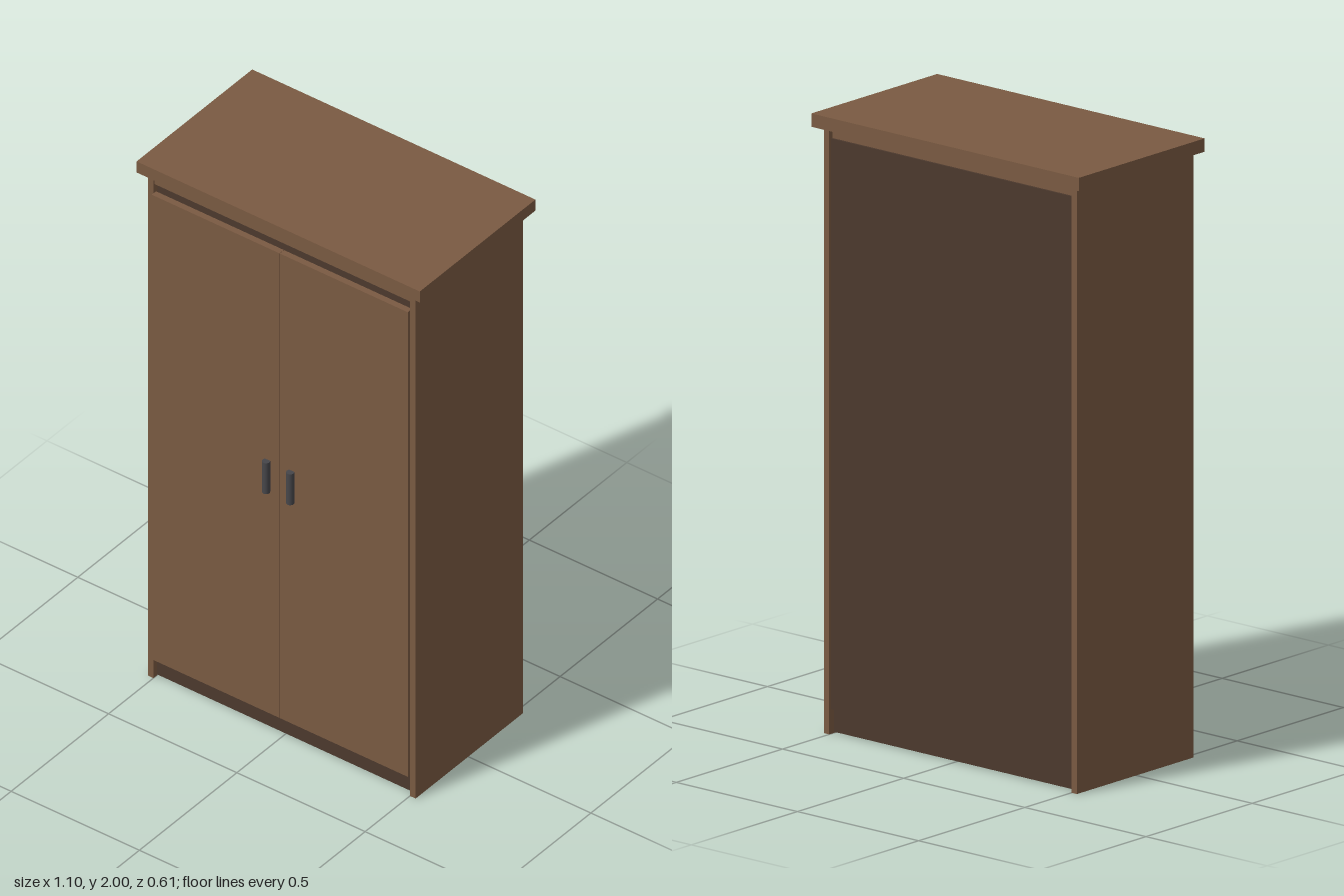
import * as THREE from 'three';

const wood = new THREE.MeshStandardMaterial({ color: 0x7a5a42 });
const darkWood = new THREE.MeshStandardMaterial({ color: 0x4c392d });
const metal = new THREE.MeshStandardMaterial({ color: 0x46464a });

export function createModel() {
  const group = new THREE.Group();

  // Box given by its extents on each axis
  const panel = (name, material, [x0, x1], [y0, y1], [z0, z1]) => {
    const mesh = new THREE.Mesh(new THREE.BoxGeometry(x1 - x0, y1 - y0, z1 - z0), material);
    mesh.position.set((x0 + x1) / 2, (y0 + y1) / 2, (z0 + z1) / 2);
    mesh.name = name;
    group.add(mesh);
  };
  const inner = [-0.5, 0.5];

  // Carcass: overhanging top board, upper rail, recessed plinth, back
  panel('topBoard', wood, [-0.552, 0.552], [1.957, 2], [-0.305, 0.288]);
  panel('upperPanel', wood, inner, [1.922, 1.957], [-0.265, 0.265]);
  panel('plinth', darkWood, inner, [0.004, 0.078], [-0.258, 0.252]);
  panel('bottomShelf', darkWood, inner, [0.078, 0.1], [-0.26, 0.258]);
  panel('backPanel', darkWood, inner, [0.08, 1.922], [-0.272, -0.26]);
  panel('doorStop', darkWood, inner, [1.87, 1.922], [0.23, 0.25]);

  // Mirrored sides, doors and bar handles
  for (const [side, s] of [['left', 1], ['right', -1]]) {
    const span = (a, b) => (s > 0 ? [a, b] : [-b, -a]);
    panel(side + 'Side', wood, span(0.5, 0.522), [0, 1.957], [-0.28, 0.27]);
    panel(side + 'Door', wood, span(0.0005, 0.499), [0.08, 1.89], [0.258, 0.28]);

    const handle = new THREE.Mesh(new THREE.CylinderGeometry(0.013, 0.013, 0.12, 16), metal);
    handle.position.set(s * 0.047, 1.005, 0.288);
    handle.name = side + 'Handle';
    group.add(handle);
  }
  return group;
}
